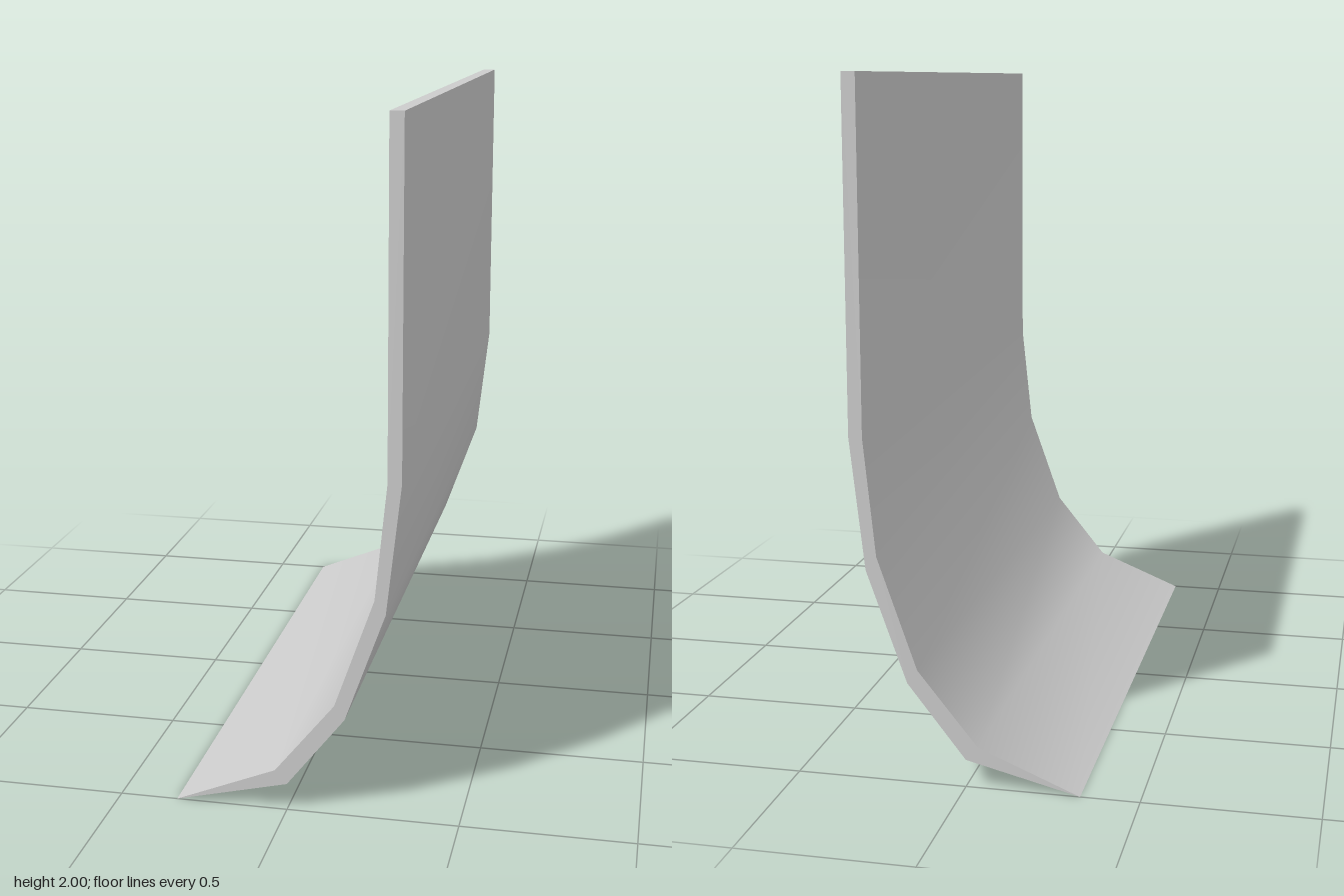
import * as THREE from 'three';
import { toCreasedNormals } from 'three/addons/utils/BufferGeometryUtils.js';

// Cross-section: outer face from the thin toe up to the top, then the inner face back down
const PROFILE = [
  [-0.33, 0], [0, 0.08], [0.17, 0.295], [0.287, 0.62], [0.33, 1], [0.33, 2],
  [0.29, 2], [0.29, 1], [0.255, 0.66], [0.14, 0.335], [-0.035, 0.12],
];
const LENGTH = 2;

export function createModel() {
  const group = new THREE.Group();
  group.name = 'curvedPanel';

  // Straight upright wall that sweeps into a tapered foot, extruded along z
  const shape = new THREE.Shape(PROFILE.map(([x, y]) => new THREE.Vector2(x, y)));
  const extruded = new THREE.ExtrudeGeometry(shape, { depth: LENGTH, bevelEnabled: false });
  extruded.translate(0, 0, -LENGTH / 2);

  // Smooth along the curve, sharp at the toe, top and ends
  const geometry = toCreasedNormals(extruded, THREE.MathUtils.degToRad(50));
  const panel = new THREE.Mesh(geometry, new THREE.MeshStandardMaterial({ color: 0xcccccc }));
  panel.name = 'panel';
  group.add(panel);

  return group;
}
